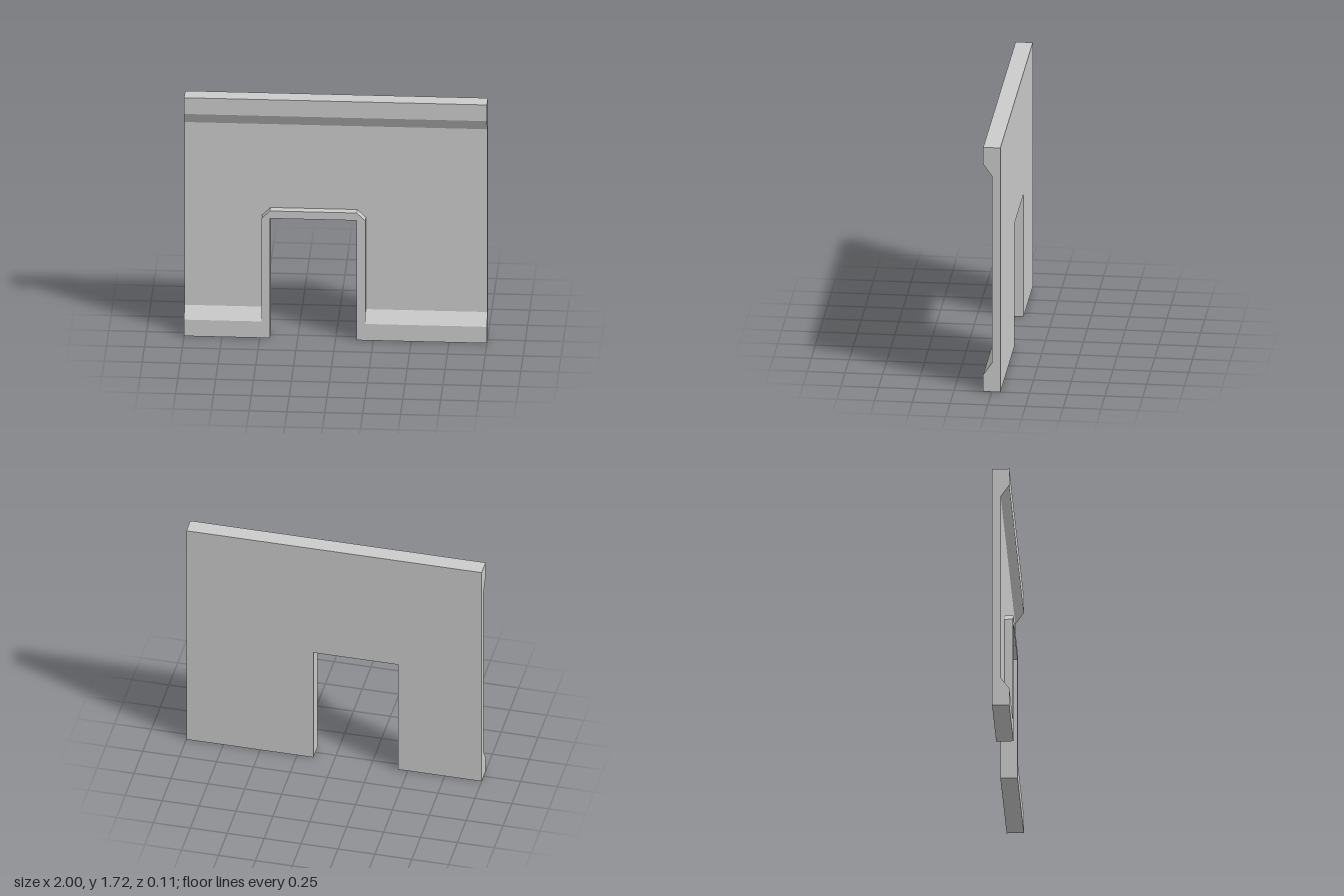
import * as THREE from 'three';

const material = new THREE.MeshStandardMaterial({ color: 0xcccccc, flatShading: true });

const HEIGHT = 1.717;
const HALF = 0.057; // half of the full wall thickness
const DOOR = { left: -0.432, right: 0.14, top: 0.862 };
const FRAME = { left: -0.487, right: 0.197, top: 0.916 };

function extrude(points, depth) {
  const shape = new THREE.Shape(points.map(([x, y]) => new THREE.Vector2(x, y)));
  return new THREE.ExtrudeGeometry(shape, { depth, bevelEnabled: false });
}

function part(name, geometry) {
  const mesh = new THREE.Mesh(geometry, material);
  mesh.name = name;
  return mesh;
}

// Sweeps a (z, y) profile along x from x0 to x1
function trim(name, profile, x0, x1) {
  const geometry = extrude(profile.map(([z, y]) => [-z, y]), x1 - x0);
  geometry.rotateY(Math.PI / 2).translate(x0, 0, 0);
  return part(name, geometry);
}

export function createModel() {
  const model = new THREE.Group();
  model.name = 'doorwayWall';

  // Flat slab with the door opening cut up from the floor
  const slab = extrude([
    [-1, 0], [DOOR.left, 0], [DOOR.left, DOOR.top], [DOOR.right, DOOR.top],
    [DOOR.right, 0], [1, 0], [1, HEIGHT], [-1, HEIGHT],
  ], HALF);
  slab.translate(0, 0, -HALF);
  model.add(part('wallSlab', slab));

  // Raised door surround with clipped upper corners
  model.add(part('doorFrame', extrude([
    [FRAME.left, 0], [DOOR.left, 0], [DOOR.left, DOOR.top], [DOOR.right, DOOR.top],
    [DOOR.right, 0], [FRAME.right, 0], [FRAME.right, DOOR.top], [DOOR.right, FRAME.top],
    [DOOR.left, FRAME.top], [FRAME.left, DOOR.top],
  ], HALF)));

  // Sloped cornice across the top
  model.add(trim('cornice', [[0, 1.517], [HALF, 1.6], [HALF, HEIGHT], [0, HEIGHT]], -1, 1));

  // Sloped skirting on both sides of the door
  const skirting = [[0, 0], [HALF, 0], [HALF, 0.118], [0, 0.2]];
  model.add(trim('rightSkirting', skirting, -1, FRAME.left));
  model.add(trim('leftSkirting', skirting, FRAME.right, 1));

  return model;
}
